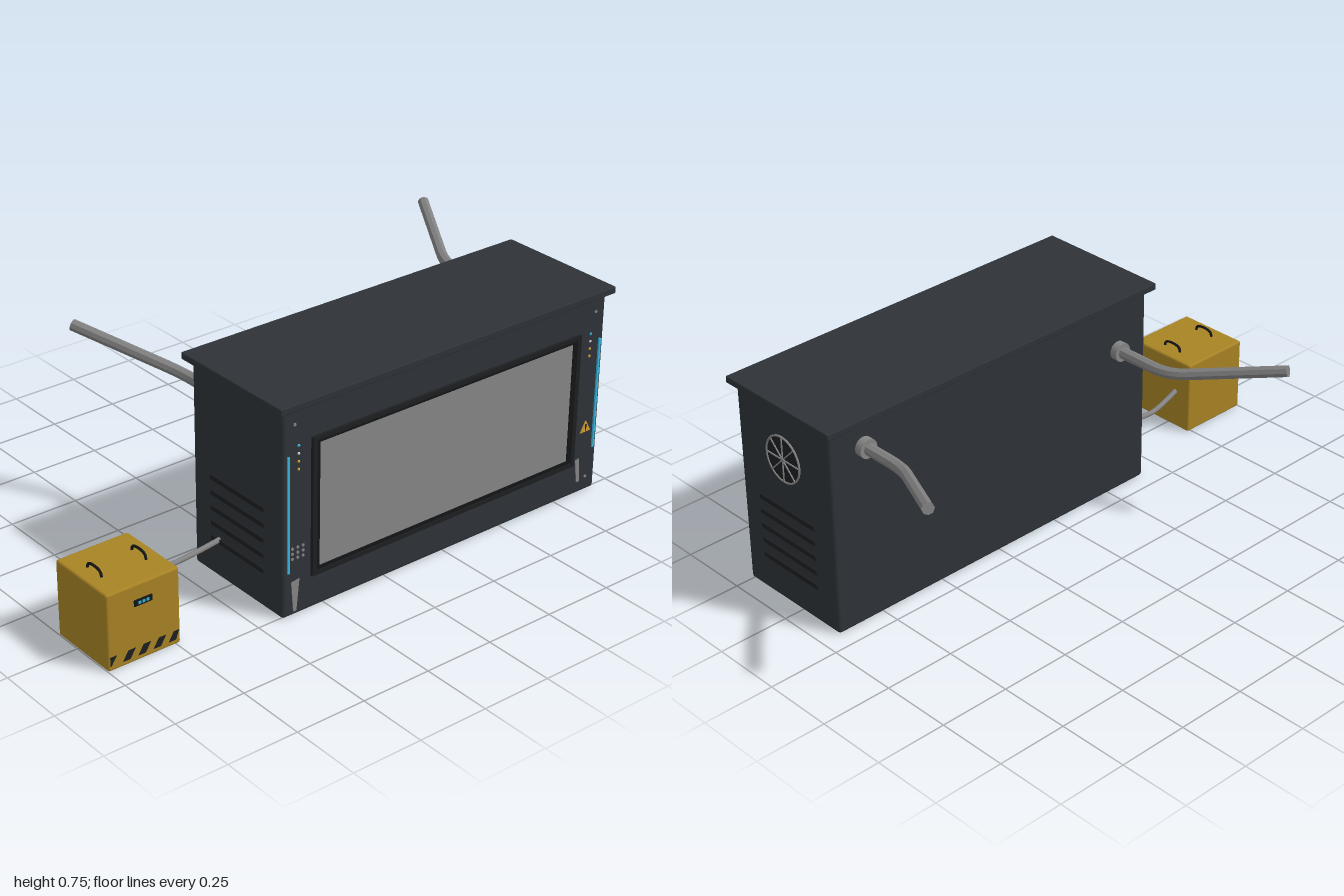
import * as THREE from 'three';
import { RoundedBoxGeometry } from 'three/addons/geometries/RoundedBoxGeometry.js';

const mat = (color, extra = {}) => new THREE.MeshStandardMaterial({ color, ...extra });
const M = {
  body: mat(0x2e3338), dark: mat(0x1c1e20), black: mat(0x141516),
  glass: mat(0x868686), metal: mat(0x858585), pipe: mat(0x808080, { flatShading: true }),
  cyan: mat(0x35b5e0), white: mat(0xd8d8d8), amber: mat(0xd0a030), yellow: mat(0xa88324),
};

export function createModel() {
  const root = new THREE.Group();

  const add = (name, geo, material, x = 0, y = 0, z = 0, parent = root) => {
    const m = new THREE.Mesh(geo, material);
    m.name = name;
    m.position.set(x, y, z);
    parent.add(m);
    return m;
  };
  // Box given by its minimum and maximum corners, optionally rounded
  const box = (name, material, [x0, y0, z0], [x1, y1, z1], r = 0, parent = root) => {
    const s = [x1 - x0, y1 - y0, z1 - z0];
    const geo = r ? new RoundedBoxGeometry(...s, 2, r) : new THREE.BoxGeometry(...s);
    return add(name, geo, material, (x0 + x1) / 2, (y0 + y1) / 2, (z0 + z1) / 2, parent);
  };
  // Flat outline extruded towards +z
  const poly = (pts) => new THREE.Shape(pts.map(([x, y]) => new THREE.Vector2(x, y)));
  const plate = (name, material, pts, z, depth, hole, parent = root) => {
    const s = poly(pts);
    if (hole) s.holes.push(poly(hole));
    return add(name, new THREE.ExtrudeGeometry(s, { depth, bevelEnabled: false }), material, 0, 0, z, parent);
  };
  const rect = (x0, y0, x1, y1) => [[x0, y0], [x1, y0], [x1, y1], [x0, y1]];
  const group = (name) => {
    const g = new THREE.Group();
    g.name = name;
    root.add(g);
    return g;
  };

  // Cabinet and overhanging lid
  box('cabinet', M.body, [-0.415, 0, 0.063], [0.932, 0.724, 0.511], 0.012);
  box('lid', M.body, [-0.438, 0.722, 0.038], [0.953, 0.746, 0.533], 0.004);

  // Window: stepped frame around the pane
  plate('outerFrame', M.dark, rect(-0.305, 0.12, 0.82, 0.605), 0.505, 0.017, rect(-0.288, 0.134, 0.803, 0.591));
  plate('innerFrame', M.black, rect(-0.288, 0.134, 0.803, 0.591), 0.505, 0.012, rect(-0.274, 0.146, 0.789, 0.58));
  box('windowPane', M.glass, [-0.274, 0.146, 0.505], [0.789, 0.58, 0.514]);

  // Front details mirrored about the cabinet centre
  const lights = group('frontLights');
  const screws = group('screws');
  for (const s of [-1, 1]) {
    const at = (d) => 0.2585 + s * d;
    const x = at(0.653);
    box('lightStrip', M.cyan, [x - 0.004, 0.16, 0.505], [x + 0.004, 0.565, 0.517], 0, lights);
    [M.cyan, M.white, M.amber, M.amber].forEach((m, i) =>
      add('indicator', new THREE.SphereGeometry(0.005, 10, 8), m, at(0.612), 0.592 - i * 0.027, 0.511, lights));
    for (const y of [0.055, 0.668]) {
      const screw = add('screw', new THREE.CylinderGeometry(0.005, 0.005, 0.008, 10), M.metal, at(0.628), y, 0.511, screws);
      screw.rotation.x = Math.PI / 2;
    }
  }

  // Small button grid at lower left of the front
  const buttons = group('buttonGrid');
  for (let i = 0; i < 9; i++) {
    const b = add('button', new THREE.CylinderGeometry(0.005, 0.005, 0.005, 8), M.metal,
      -0.378 + (i % 3) * 0.021, 0.205 + Math.floor(i / 3) * 0.018, 0.512, buttons);
    b.rotation.x = Math.PI / 2;
  }

  // Worn metal patches near the bottom corners
  plate('leftPatch', M.metal, [[-0.374, 0.015], [-0.362, 0.015], [-0.35, 0.127], [-0.382, 0.122]], 0.509, 0.004);
  plate('rightPatch', M.metal, [[0.846, 0.045], [0.859, 0.045], [0.852, 0.135], [0.835, 0.13]], 0.509, 0.004);

  // Warning triangle
  plate('warningSign', M.amber, [[0.85, 0.23], [0.896, 0.23], [0.873, 0.272]], 0.509, 0.005);
  plate('warningMark', M.black, [[0.871, 0.241], [0.875, 0.241], [0.877, 0.258], [0.869, 0.258]], 0.512, 0.003);
  box('warningDot', M.black, [0.871, 0.234, 0.512], [0.875, 0.238, 0.515]);

  // Horizontal vent slats on both ends
  const vents = group('sideVents');
  for (const x of [-0.415, 0.932])
    for (let i = 0; i < 5; i++) {
      const y = 0.135 + i * 0.0545;
      box('ventSlat', M.dark, [x - 0.007, y - 0.009, 0.155], [x + 0.007, y + 0.009, 0.423], 0.003, vents);
    }

  // Round fan grille on the left end
  const fan = group('fan');
  fan.position.set(0.932, 0.545, 0.288);
  fan.rotation.y = Math.PI / 2;
  const disc = add('fanDisc', new THREE.CylinderGeometry(0.08, 0.08, 0.008, 32), M.dark, 0, 0, 0.001, fan);
  disc.rotation.x = Math.PI / 2;
  add('fanRing', new THREE.TorusGeometry(0.08, 0.0035, 8, 36), M.metal, 0, 0, 0.005, fan);
  for (let i = 0; i < 4; i++) {
    const spoke = add('fanSpoke', new THREE.BoxGeometry(0.16, 0.004, 0.005), M.metal, 0, 0, 0.006, fan);
    spoke.rotation.z = i * Math.PI / 4;
  }
  const hub = add('fanHub', new THREE.CylinderGeometry(0.008, 0.008, 0.007, 12), M.metal, 0, 0, 0.006, fan);
  hub.rotation.x = Math.PI / 2;

  // Bent pipes at the back, each with a collar and end cap
  const pipe = (name, start, bend, end) => {
    const g = group(name);
    const [a, b, c] = [start, bend, end].map((p) => new THREE.Vector3(...p));
    const path = new THREE.CurvePath();
    const p1 = b.clone().lerp(a, 0.07 / a.distanceTo(b));
    const p2 = b.clone().lerp(c, 0.07 / b.distanceTo(c));
    path.add(new THREE.LineCurve3(a, p1));
    path.add(new THREE.QuadraticBezierCurve3(p1, b, p2));
    path.add(new THREE.LineCurve3(p2, c));
    add('pipeTube', new THREE.TubeGeometry(path, 28, 0.02, 8), M.pipe, 0, 0, 0, g);
    const cap = add('pipeEnd', new THREE.CircleGeometry(0.02, 8), M.pipe, ...end, g);
    cap.lookAt(c.clone().multiplyScalar(2).sub(b));
    const collar = add('pipeCollar', new THREE.CylinderGeometry(0.033, 0.033, 0.03, 16), M.metal, a.x, a.y, 0.052, g);
    collar.rotation.x = Math.PI / 2;
  };
  pipe('rightPipe', [-0.285, 0.544, 0.06], [-0.285, 0.544, -0.17], [-0.462, 0.634, -0.526]);
  pipe('leftPipe', [0.8, 0.635, 0.06], [0.8, 0.635, -0.12], [0.975, 0.722, -0.436]);

  // Sagging cable to the power box
  const sag = new THREE.CatmullRomCurve3([[-0.41, 0.14, 0.192], [-0.5, 0.128, 0.192], [-0.6, 0.121, 0.194],
    [-0.67, 0.128, 0.205], [-0.74, 0.142, 0.216]].map((p) => new THREE.Vector3(...p)));
  add('cable', new THREE.TubeGeometry(sag, 24, 0.009, 8), M.metal);

  // Power box
  const power = group('powerBox');
  box('powerCase', M.yellow, [-1, 0, 0.15], [-0.734, 0.268, 0.416], 0.008, power);
  for (const x of [-0.948, -0.786]) {
    const arch = new THREE.CatmullRomCurve3([[0.245, 0.262], [0.25, 0.281], [0.265, 0.288], [0.3, 0.288],
      [0.315, 0.281], [0.32, 0.262]].map(([z, y]) => new THREE.Vector3(x, y, z)));
    add('carryHandle', new THREE.TubeGeometry(arch, 20, 0.0045, 8), M.black, 0, 0, 0, power);
  }
  box('display', M.black, [-0.902, 0.193, 0.412], [-0.836, 0.215, 0.42], 0.002, power);
  for (let i = 0; i < 3; i++) {
    const x = -0.888 + i * 0.015;
    box('displayLight', M.cyan, [x, 0.199, 0.418], [x + 0.01, 0.209, 0.421], 0, power);
  }

  // Slanted hazard stripes, with the first one cut off at the edge
  const stripe = (pts) => plate('hazardStripe', M.dark, pts, 0.413, 0.0045, null, power);
  stripe([[-0.993, 0.018], [-0.991, 0.018], [-0.97, 0.05], [-0.993, 0.05]]);
  for (let i = 0; i < 4; i++) {
    const x = -0.947 + i * 0.056;
    stripe([[x, 0.018], [x + 0.026, 0.018], [x + 0.046, 0.05], [x + 0.02, 0.05]].map(([u, v]) => [Math.min(u, -0.74), v]));
  }
  return root;
}
